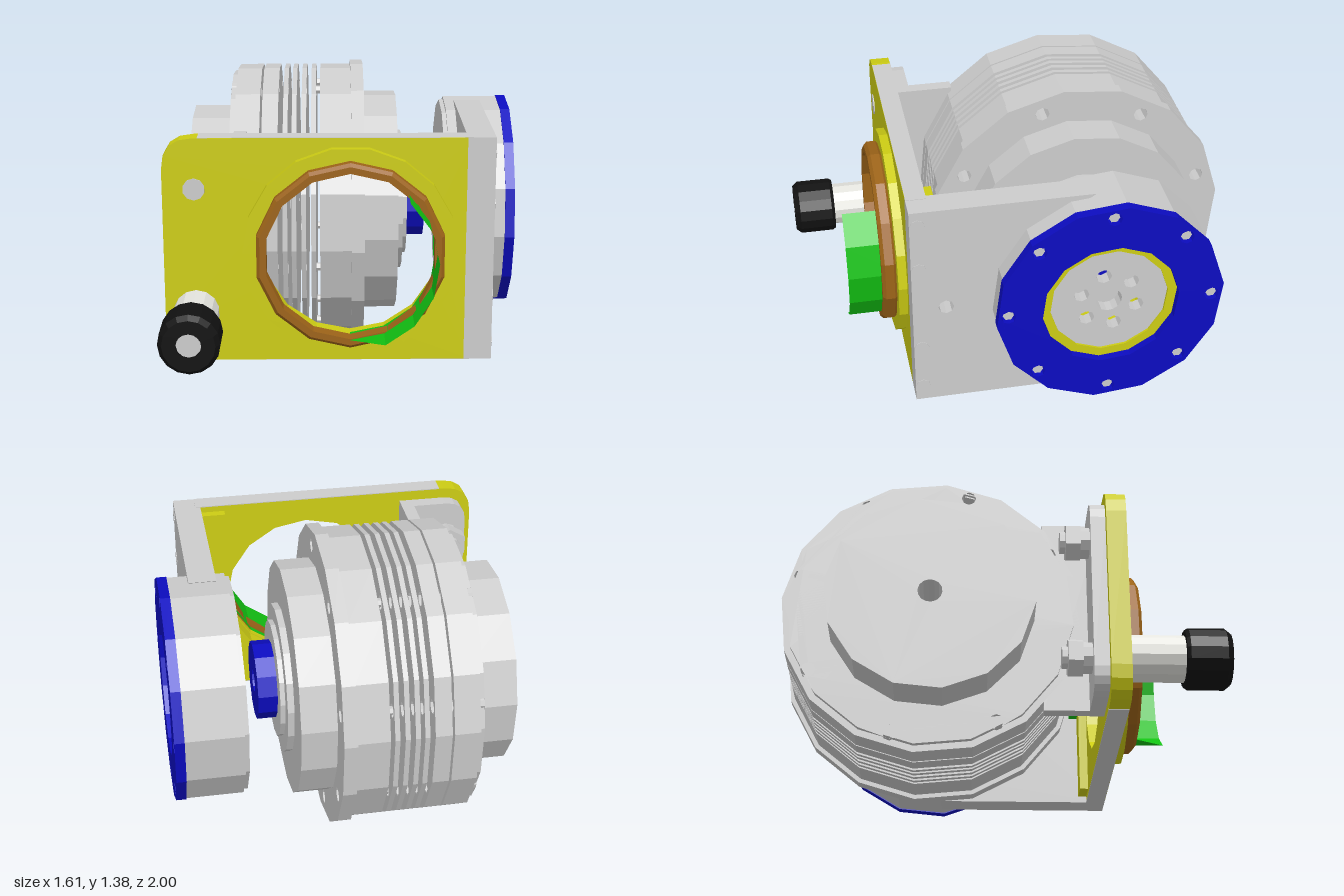
import * as THREE from 'three';

const mat = (color) => new THREE.MeshStandardMaterial({ color, flatShading: true, side: THREE.DoubleSide });
const GREY = mat(0xcccccc), YELLOW = mat(0xcccc14), BLUE = mat(0x0c0cc0), GREEN = mat(0x12c012);
const BROWN = mat(0x9c6318), BLACK = mat(0x111111), STEEL = mat(0xe4e4de);
const AXIS_Y = 0.69, AXIS_Z = -0.305, LENS_X = 0.03, LENS_Y = 0.685;

export function createModel() {
  const root = new THREE.Group();
  const add = (name, geometry, material = GREY) => {
    const mesh = new THREE.Mesh(geometry, material);
    mesh.name = name;
    root.add(mesh);
    return mesh;
  };
  const box = (name, x0, x1, y0, y1, z0, z1, material) =>
    add(name, new THREE.BoxGeometry(x1 - x0, y1 - y0, z1 - z0)
      .translate((x0 + x1) / 2, (y0 + y1) / 2, (z0 + z1) / 2), material);

  // Regular polygon outline
  const poly = (r, n, cx = 0, cy = 0, turn = 0, Type = THREE.Path) =>
    new Type(Array.from({ length: n }, (_, i) => {
      const a = turn + (i / n) * Math.PI * 2;
      return new THREE.Vector2(cx + r * Math.cos(a), cy + r * Math.sin(a));
    }));
  const extrude = (shape, depth) =>
    new THREE.ExtrudeGeometry(shape, { depth, bevelEnabled: false, curveSegments: 4 });
  const ringOfHoles = (count, radius, size, turn) =>
    Array.from({ length: count }, (_, i) => {
      const a = turn + (i / count) * Math.PI * 2;
      return poly(size, 8, radius * Math.cos(a), radius * Math.sin(a));
    });

  // Disc on the drive axis, running from x0 to x1
  const disc = (name, x0, x1, r, { sides = 16, bore = 0.055, holes = [], material = GREY, turn = 0.1 } = {}) => {
    const shape = poly(r, sides, 0, 0, turn, THREE.Shape);
    shape.holes.push(poly(bore, sides, 0, 0, turn), ...holes);
    return add(name, extrude(shape, x1 - x0).rotateY(Math.PI / 2).translate(x0, AXIS_Y, AXIS_Z), material);
  };

  // Motor drum: end cap, separate cooling plates, flange and stepped nose
  const boltTurn = 16 * Math.PI / 180;
  const drumHoles = () => ringOfHoles(8, 0.61, 0.033, boltTurn);
  disc('endCap', -0.72, -0.52, 0.468, { sides: 14 });
  disc('rearPlateLip', -0.525, -0.50, 0.645, { holes: drumHoles() });
  disc('rearPlate', -0.50, -0.385, 0.675, { holes: drumHoles() });
  disc('drumPlate', -0.375, -0.30, 0.675, { holes: drumHoles() });
  for (const x of [-0.277, -0.236, -0.191, -0.146])
    disc('coolingFin', x, x + 0.022, 0.675, { holes: drumHoles() });
  disc('drumBody', -0.105, 0.04, 0.675, { holes: drumHoles() });
  disc('drumFlange', 0.04, 0.10, 0.695, { holes: drumHoles() });
  disc('noseStep', 0.10, 0.26, 0.54);
  disc('noseCollar', 0.26, 0.29, 0.345);
  disc('noseCap', 0.29, 0.312, 0.27);
  disc('driveHub', 0.312, 0.40, 0.18, { sides: 12, material: BLUE });
  for (let i = 0; i < 8; i++) {
    const a = boltTurn + i * Math.PI / 4;
    add('drumScrew', new THREE.CylinderGeometry(0.02, 0.02, 0.05, 6).rotateZ(Math.PI / 2)
      .translate(-0.1, AXIS_Y + 0.61 * Math.sin(a), AXIS_Z - 0.61 * Math.cos(a)));
  }

  // Output ring with bearing, cover and perforated hub
  const coverHoles = () => ringOfHoles(8, 0.46, 0.033, 0);
  const out = { sides: 14, bore: 0.31 };
  disc('outputHousingLip', 0.48, 0.50, 0.495, out);
  disc('outputHousing', 0.50, 0.76, 0.51, out);
  disc('outputCover', 0.76, 0.805, 0.515, { ...out, holes: coverHoles(), material: BLUE });
  disc('outputBearing', 0.50, 0.77, 0.315, { sides: 14, bore: 0.268, material: YELLOW });
  disc('outputHub', 0.70, 0.76, 0.272, { sides: 14, bore: 0.06, holes: ringOfHoles(6, 0.132, 0.035, 0.72) });
  for (let i = 0; i < 8; i++) {
    const a = i * Math.PI / 4;
    add('coverScrew', new THREE.CylinderGeometry(0.025, 0.025, 0.03, 6).rotateZ(Math.PI / 2)
      .translate(0.775, AXIS_Y + 0.46 * Math.sin(a), AXIS_Z - 0.46 * Math.cos(a)));
  }

  // Side plate, cut to meet the round housing
  const arm = new THREE.Shape();
  const reach = Math.asin(0.98);
  arm.moveTo(-0.865, -0.52);
  arm.lineTo(-0.05, -0.52);
  arm.absarc(0, 0, 0.49, -Math.PI + reach, Math.PI - reach, true);
  arm.lineTo(-0.05, 0.51);
  arm.lineTo(-0.865, 0.51);
  arm.holes.push(poly(0.035, 8, -0.715, -0.005));
  add('sidePlate', extrude(arm, 0.125).rotateY(Math.PI / 2).translate(0.545, AXIS_Y, AXIS_Z));
  for (const y of [0.25, 0.47, 0.90, 1.13])
    add('edgeScrew', new THREE.CylinderGeometry(0.033, 0.033, 0.006, 8).rotateZ(Math.PI / 2).translate(0.67, y, 0.525));

  // Front plate with rounded outer corners and round window
  const front = new THREE.Shape();
  front.moveTo(0.57, 0.17);
  front.lineTo(0.57, 1.2);
  front.lineTo(-0.66, 1.2);
  front.quadraticCurveTo(-0.8, 1.2, -0.8, 1.06);
  front.lineTo(-0.8, 0.31);
  front.quadraticCurveTo(-0.8, 0.17, -0.66, 0.17);
  front.holes.push(poly(0.40, 16, LENS_X, LENS_Y));
  add('frontPlate', extrude(front, 0.09).translate(0, 0, 0.47), YELLOW);
  for (const y of [0.168, 1.198])
    box('plateEdge', -0.64, 0.57, y, y + 0.004, 0.469, 0.559);
  box('cornerRib', 0.43, 0.55, 0.2, 1.17, 0.43, 0.47, YELLOW);
  box('sensor', 0.41, 0.545, 0.62, 0.75, 0.39, 0.432, GREEN);

  // Window rim: yellow base, chamfered brown ring, partial green hood
  const base = poly(0.48, 18, LENS_X, LENS_Y, 0, THREE.Shape);
  base.holes.push(poly(0.395, 16, LENS_X, LENS_Y));
  add('rimBase', extrude(base, 0.04).translate(0, 0, 0.56), YELLOW);
  const rim = [[0.38, 0.595], [0.41, 0.595], [0.425, 0.61], [0.425, 0.65], [0.41, 0.665], [0.38, 0.665], [0.38, 0.595]]
    .map(([r, z]) => new THREE.Vector2(r, z));
  add('rimRing', new THREE.LatheGeometry(rim, 14).rotateX(Math.PI / 2).translate(LENS_X, LENS_Y, 0), BROWN);
  const hood = new THREE.CylinderGeometry(0.383, 0.383, 0.25, 6, 1, true, 0, Math.PI * 0.77)
    .rotateX(Math.PI / 2);
  // Slant the lower end of the hood
  const p = hood.attributes.position;
  for (let i = 0; i < p.count; i++)
    if (p.getY(i) < -0.38 && p.getZ(i) > 0) p.setZ(i, -0.02);
  add('hood', hood.translate(LENS_X, LENS_Y, 0.69), GREEN);

  // Cylinder running along z
  const post = (name, x, y, z0, z1, r, sides, material) =>
    add(name, new THREE.CylinderGeometry(r, r, z1 - z0, sides).rotateX(Math.PI / 2)
      .translate(x, y, (z0 + z1) / 2), material);

  // Angle bracket joining the drum to the front plate
  const pad = new THREE.Shape();
  pad.moveTo(-0.44, 0.22);
  pad.lineTo(-0.44, 1.15);
  pad.lineTo(-0.66, 1.15);
  pad.quadraticCurveTo(-0.76, 1.15, -0.76, 1.05);
  pad.lineTo(-0.76, 0.32);
  pad.quadraticCurveTo(-0.76, 0.22, -0.66, 0.22);
  add('bracketPad', extrude(pad, 0.07).translate(0, 0, 0.402));
  box('bracketLeg', -0.50, -0.44, 0.22, 1.15, 0.2, 0.47);

  // Bolts with washers and nuts
  for (const y of [0.40, 0.97]) {
    post('bolt', -0.66, y, 0.27, 0.565, 0.05, 10);
    post('nut', -0.66, y, 0.295, 0.36, 0.088, 6);
    post('washer', -0.66, y, 0.36, 0.405, 0.07, 10);
  }

  // Handle: bright post with black knob
  post('handlePost', -0.66, 0.40, 0.56, 0.81, 0.103, 14, STEEL);
  const knob = [[0.055, 0.8], [0.125, 0.8], [0.135, 0.815], [0.135, 0.975], [0.115, 1.0], [0.055, 1.0], [0.055, 0.8]]
    .map(([r, z]) => new THREE.Vector2(r, z));
  add('knob', new THREE.LatheGeometry(knob, 16).rotateX(Math.PI / 2).translate(-0.66, 0.40, 0), BLACK);
  post('knobBolt', -0.66, 0.40, 0.8, 0.985, 0.055, 12);

  return root;
}
